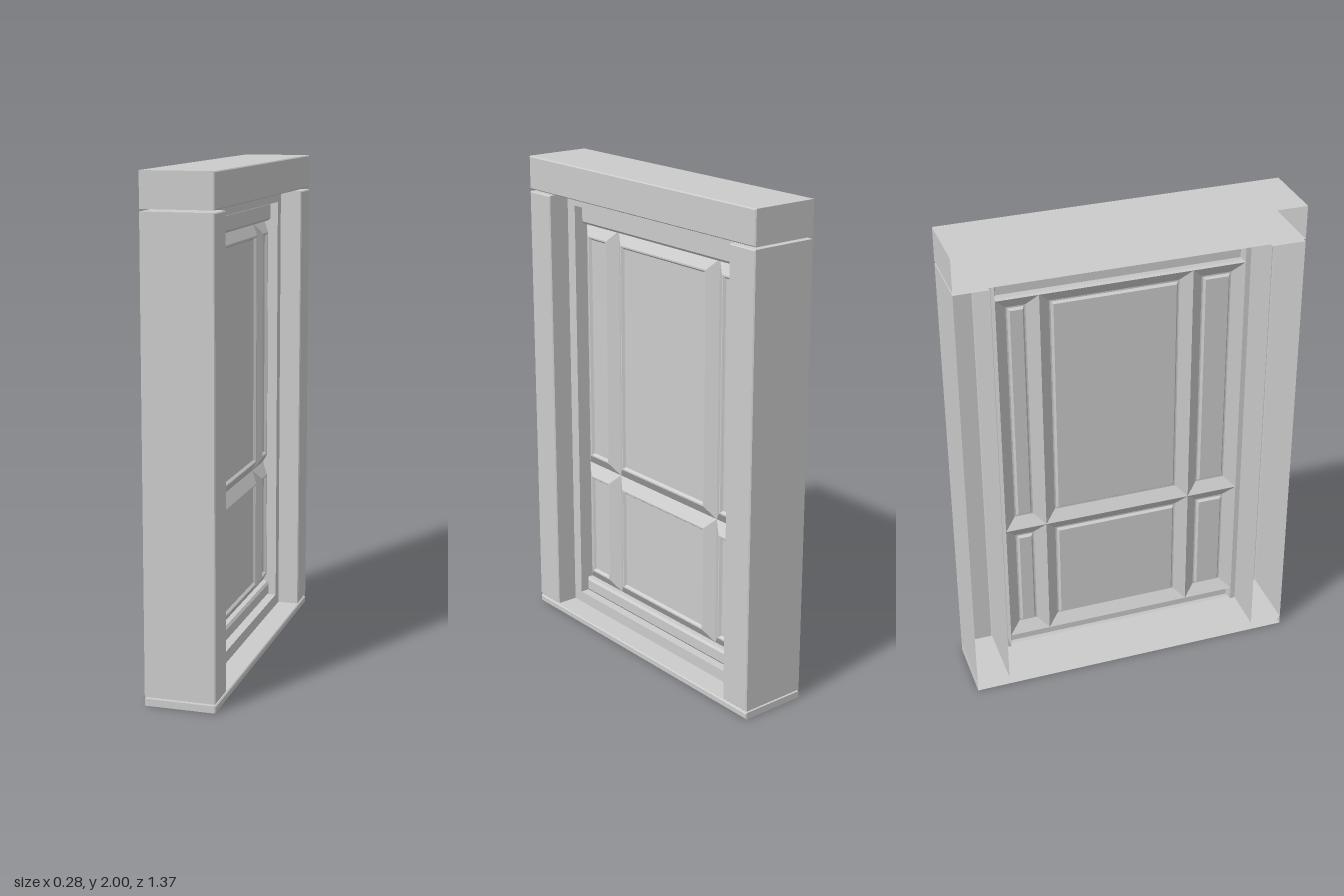
import * as THREE from 'three';

const material = new THREE.MeshStandardMaterial({ color: 0xcccccc, flatShading: true, side: THREE.DoubleSide });

// Shell facing +x, lofted through nested rectangles; each level is [inset, x].
function shell(name, [z0, z1, y0, y1], levels, capped = true) {
  const loops = levels.map(([d, x]) => [
    [x, y0 + d, z1 - d], [x, y0 + d, z0 + d], [x, y1 - d, z0 + d], [x, y1 - d, z1 - d],
  ]);
  const points = [];
  const quad = (a, b, c, d) => points.push(...a, ...b, ...c, ...a, ...c, ...d);
  for (let k = 0; k < loops.length - 1; k++) {
    for (let i = 0; i < 4; i++) {
      const j = (i + 1) % 4;
      quad(loops[k][i], loops[k][j], loops[k + 1][j], loops[k + 1][i]);
    }
  }
  if (capped) quad(...loops[loops.length - 1]);
  const geometry = new THREE.BufferGeometry();
  geometry.setAttribute('position', new THREE.Float32BufferAttribute(points, 3));
  geometry.computeVertexNormals();
  const mesh = new THREE.Mesh(geometry, material);
  mesh.name = name;
  return mesh;
}

export function createModel() {
  const model = new THREE.Group();
  model.name = 'panelledOpening';

  // Outer surround: hollow blocks, open at the back, softened front edge
  const block = [[0, -0.14], [0, 0.136], [0.004, 0.14]];
  model.add(
    shell('lintel', [-0.685, 0.685, 1.864, 2], block),
    shell('sill', [-0.685, 0.685, 0, 0.028], block),
    shell('frontJamb', [0.548, 0.685, 0.035, 1.855], block),
    shell('backJamb', [-0.685, -0.548, 0.035, 1.855], block),
  );

  // Inner frame with its reveal
  const frameLevels = [[0, -0.03], [0, 0.05], [0.048, 0.05], [0.048, -0.01]];
  model.add(shell('innerFrame', [-0.548, 0.548, 0.035, 1.86], frameLevels, false));

  // Horizontal rails above and below the panels
  const railLevels = [[0, -0.01], [0, 0.012], [0.01, 0.02]];
  model.add(
    shell('topRail', [-0.5, 0.5, 1.735, 1.812], railLevels),
    shell('bottomRail', [-0.5, 0.5, 0.083, 0.145], railLevels),
  );

  // Raised panels meeting in V grooves, each with a recessed field
  const zs = [-0.5, -0.33, 0.285, 0.5];
  const ys = [0.145, 0.685, 1.735];
  const panelLevels = [[0, -0.01], [0.046, 0.02], [0.052, 0.02], [0.06, 0.01]];
  const panels = new THREE.Group();
  panels.name = 'panels';
  for (let r = 0; r < 2; r++) {
    for (let c = 0; c < 3; c++) {
      panels.add(shell('panel', [zs[c], zs[c + 1], ys[r], ys[r + 1]], panelLevels));
    }
  }
  model.add(panels);
  return model;
}
